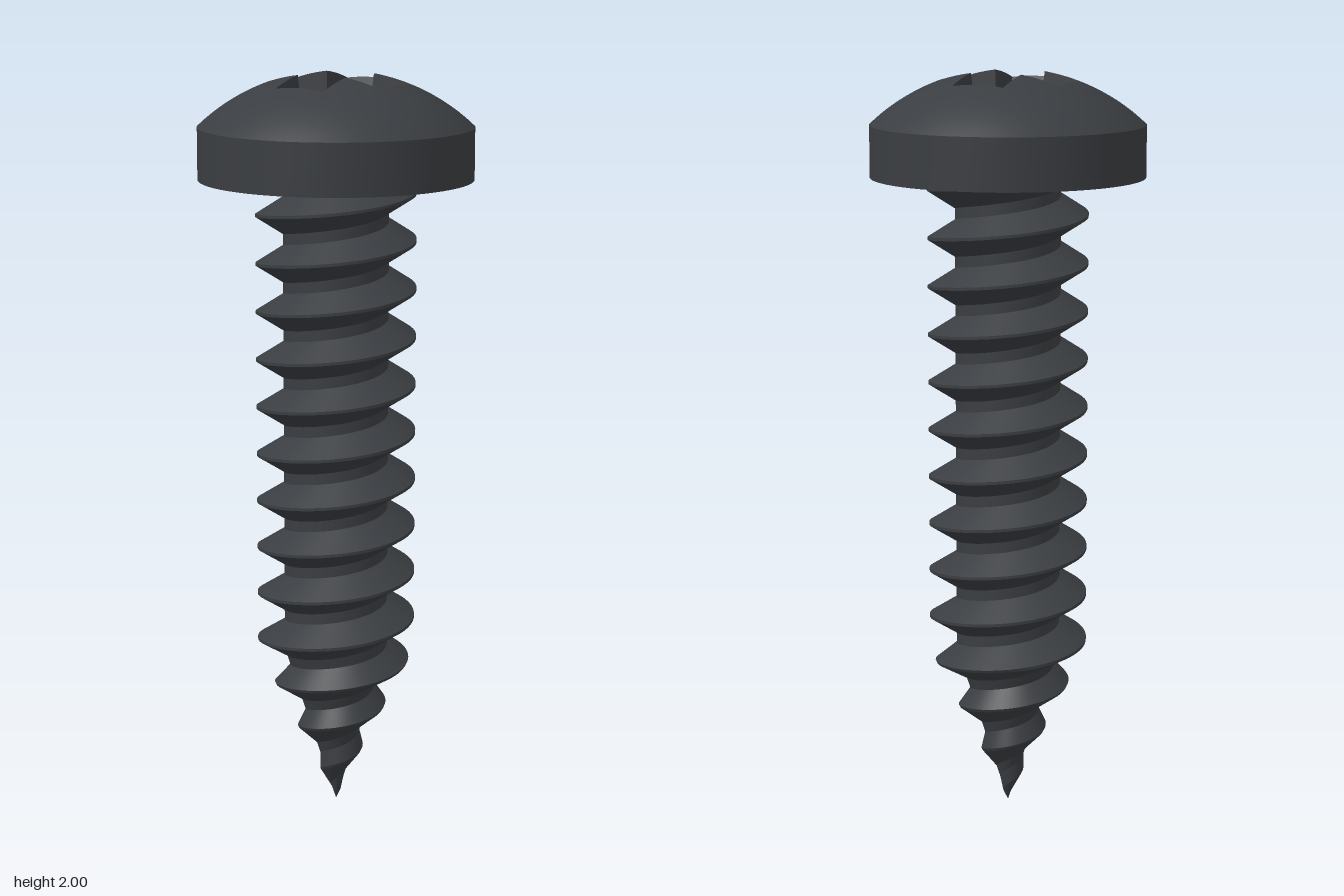
import * as THREE from 'three';
import { toCreasedNormals } from 'three/addons/utils/BufferGeometryUtils.js';

const material = new THREE.MeshStandardMaterial({ color: 0x3a3d41 });

// Joins closed rings of equal point counts; rings running outward face up.
function skin(rings, crease) {
  const n = rings[0].length;
  const index = [];
  for (let r = 0; r < rings.length - 1; r++) {
    for (let i = 0; i < n; i++) {
      const j = (i + 1) % n;
      const a = r * n + i, b = r * n + j, c = a + n, d = b + n;
      index.push(a, b, d, a, d, c);
    }
  }
  const geometry = new THREE.BufferGeometry();
  geometry.setAttribute('position', new THREE.Float32BufferAttribute(rings.flat(2), 3));
  geometry.setIndex(index);
  return toCreasedNormals(geometry, crease);
}

// Cross outline as [x, z] points, counted from +x towards +z.
function crossOutline(reach, half, steps = 8) {
  const points = [];
  for (let arm = 0; arm < 4; arm++) {
    const c = Math.round(Math.cos(arm * Math.PI / 2)), s = Math.round(Math.sin(arm * Math.PI / 2));
    const corners = [[half, -half], [reach, -half], [reach, half], [half, half]];
    for (let k = 0; k < 3; k++) {
      for (let i = 0; i < steps; i++) {
        const t = i / steps;
        const x = corners[k][0] + (corners[k + 1][0] - corners[k][0]) * t;
        const z = corners[k][1] + (corners[k + 1][1] - corners[k][1]) * t;
        points.push([x * c - z * s, x * s + z * c]);
      }
    }
  }
  return points;
}

const HEAD_R = 0.363, HEAD_LOW = 1.728, DOME_R = 0.527, APEX = 2.01;
const domeY = (r) => APEX - DOME_R + Math.sqrt(DOME_R * DOME_R - r * r);

const mouth = crossOutline(0.178, 0.072);
const floor = crossOutline(0.125, 0.06);
const FLOOR_Y = 1.85;
const circle = (r, y) => mouth.map(([x, z]) => {
  const l = Math.hypot(x, z);
  return [x / l * r, y, z / l * r];
});

// Dome around the cross, straight rim and flat underside
function headGeometry() {
  const rings = [];
  for (let k = 0; k <= 12; k++) {
    rings.push(mouth.map(([x, z]) => {
      const l = Math.hypot(x, z);
      const r = l + (HEAD_R - l) * k / 12;
      return [x / l * r, domeY(r), z / l * r];
    }));
  }
  rings.push(circle(HEAD_R, HEAD_LOW), circle(0, HEAD_LOW));
  return skin(rings, 0.6);
}

// Tapered cross recess with a conical pit
function recessGeometry() {
  return skin([
    circle(0, FLOOR_Y - 0.03),
    circle(0.065, FLOOR_Y),
    floor.map(([x, z]) => [x, FLOOR_Y, z]),
    mouth.map(([x, z]) => [x, domeY(Math.hypot(x, z)), z]),
  ], 0.2);
}

// Shank and thread as one helical strip, shrinking to a point at the bottom
function threadGeometry() {
  const PITCH = 0.129, START = 1.685, TOP = 1.74, TAPER = 0.44, STEPS = 56, TURNS = 16;
  const profile = [[-0.05, 0.14], [-0.004, 0.213], [0.004, 0.213], [0.05, 0.14], [PITCH - 0.05, 0.14]];
  const position = [], index = [];
  for (let k = 0; k < profile.length - 1; k++) {
    const base = position.length / 3;
    for (let i = 0; i <= STEPS * TURNS; i++) {
      const turn = i / STEPS - 1;
      const angle = turn * Math.PI * 2;
      for (const [dy, r] of [profile[k], profile[k + 1]]) {
        const y = THREE.MathUtils.clamp(START - PITCH * turn + dy, 0, TOP);
        const radius = r * Math.min(1, y / TAPER);
        position.push(Math.cos(angle) * radius, y, Math.sin(angle) * radius);
      }
      if (i > 0) {
        const c = base + i * 2, a = c - 2;
        index.push(a, a + 1, c, a + 1, c + 1, c);
      }
    }
  }
  const geometry = new THREE.BufferGeometry();
  geometry.setAttribute('position', new THREE.Float32BufferAttribute(position, 3));
  geometry.setIndex(index);
  geometry.computeVertexNormals();
  return geometry;
}

export function createModel() {
  const group = new THREE.Group();
  group.name = 'screw';
  const add = (name, geometry) => {
    const mesh = new THREE.Mesh(geometry, material);
    mesh.name = name;
    group.add(mesh);
    return mesh;
  };
  add('head', headGeometry());
  add('crossRecess', recessGeometry());
  add('threadedShank', threadGeometry());
  // Thin collar where the shank meets the head
  add('collar', new THREE.CylinderGeometry(0.213, 0.185, 0.02, 64)).position.y = 1.722;
  return group;
}
